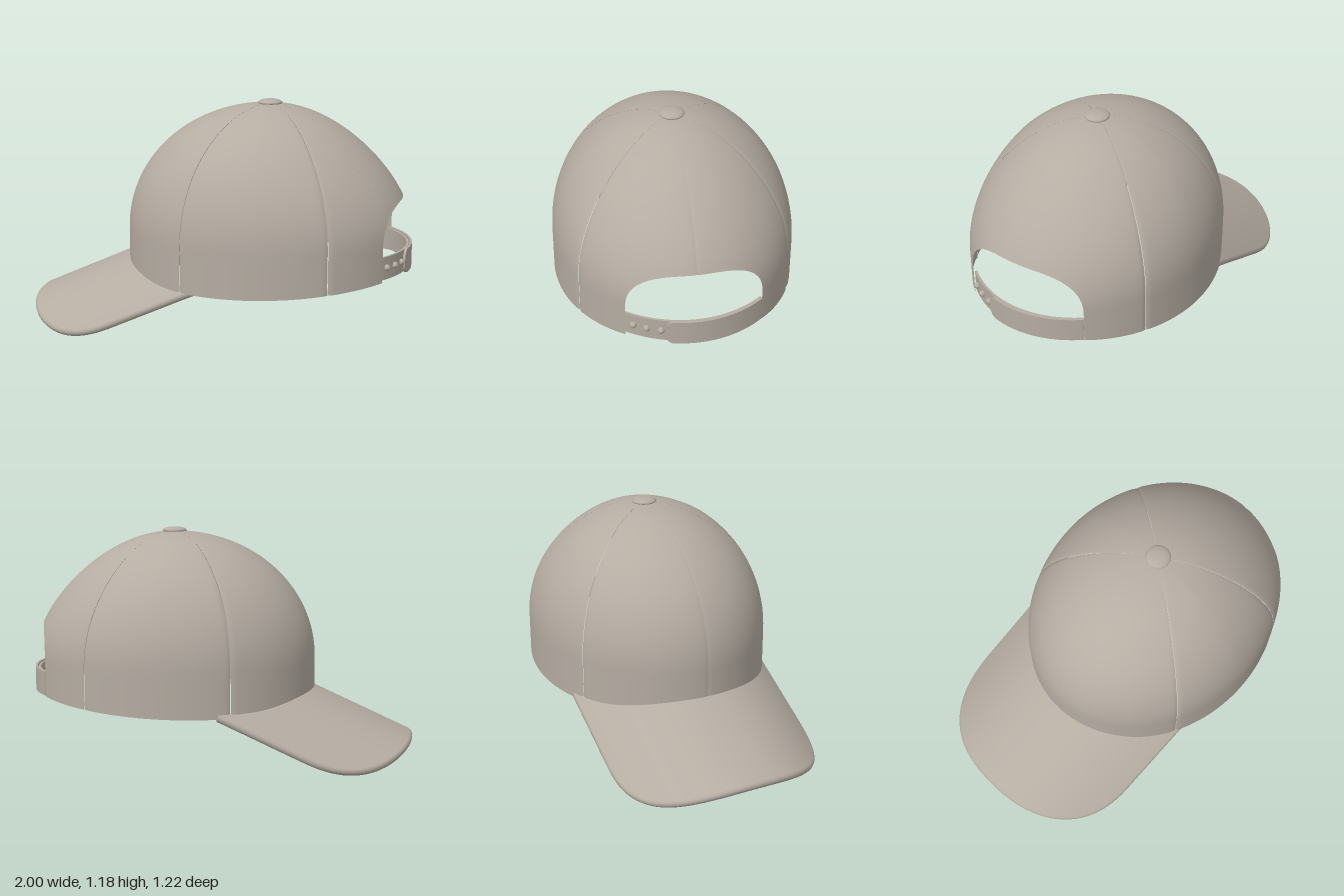
import * as THREE from 'three';
import { toCreasedNormals } from 'three/addons/utils/BufferGeometryUtils.js';

const CX = 0.255, A = 0.74, B = 0.61;           // crown centre and half axes
const OPEN = Math.asin(0.335 / B);              // half angle of the rear opening
const RAD = Math.PI / 180;
const GAP = 0.12;                               // half width of a seam slit, in degrees

// Smooth sheet from a rule fn(u, v) -> [x, y, z], with u and v in 0..1
function sheet(fn, nu, nv) {
  const pos = [], idx = [];
  for (let i = 0; i <= nu; i++)
    for (let j = 0; j <= nv; j++) pos.push(...fn(i / nu, j / nv));
  for (let i = 0; i < nu; i++)
    for (let j = 0; j < nv; j++) {
      const a = i * (nv + 1) + j, b = a + nv + 1;
      idx.push(a, a + 1, b, b, a + 1, b + 1);
    }
  const g = new THREE.BufferGeometry();
  g.setAttribute('position', new THREE.Float32BufferAttribute(pos, 3));
  g.setIndex(idx);
  g.computeVertexNormals();
  return g;
}

// Crown surface: phi runs around from the rear (+x), th rises from the band to the top
function crownPoint(phi, th) {
  const c = Math.cos(phi), up = Math.max(th, 0), f = Math.cos(up);
  const step = Math.PI / 3, n = Math.round(phi / step);
  const depth = n % 3 === 0 ? 0.003 : 0.008;
  const r = f * (1 - depth * Math.exp(-(((phi - n * step) / 0.018) ** 2)));
  const slump = (c > 0 ? 0.14 : 0.01) * c * Math.sin(up) * f * f;
  const y = 0.5 + 0.657 * (th > 0 ? Math.sin(th) : th) - slump;
  return [CX + A * r * c, y, B * r * Math.sin(phi)];
}

// Lower edge of a crown column: the rim, or the arch over the rear opening
function rimStart(phi) {
  const c = Math.cos(phi);
  const y = 0.272 + 0.025 * c + 0.035 * c * c + 0.15 * Math.min(0, c + 0.4) ** 2;
  return (y - 0.5) / 0.657;
}
function archStart(phi) {
  const s = Math.min(1, Math.abs(Math.sin(phi)) * B / 0.335);
  return -0.07 + 0.43 * Math.pow(Math.max(0, 1 - s ** 2.8), 1 / 2.8);
}

function crownPanel(from, to, start) {
  return sheet((u, v) => {
    const phi = from + (to - from) * (0.5 - 0.5 * Math.cos(Math.PI * u));
    const lo = start(phi);
    return crownPoint(phi, lo + (Math.PI / 2 - lo) * v);
  }, 32, 36);
}

// Visor: middle surface between the crown edge and a rounded outline, offset along its normal
const VW = 0.528, VZ = -0.01, VT = 0.022;
function visorPoint(u, v, lift = 0) {
  const t = (u - 0.5) * Math.PI, s = Math.sin(t), e = 2 / 2.3;
  const zi = VW * s, xi = CX - A * Math.sqrt(1 - (zi / B) ** 2) + 0.01 + 0.06 * s ** 8;
  const zo = VW * Math.sign(s) * Math.abs(s) ** e;
  const xo = -0.48 - 0.498 * Math.max(0, Math.cos(t)) ** e;
  const x = xi + (xo - xi) * v, z = zi + (zo - zi) * v;
  const y = 0.089 + 0.45 * (x + 1) - 0.98 * Math.abs(z) ** 2.2;
  const n = new THREE.Vector3(-0.45, 1, 2.156 * Math.sign(z) * Math.abs(z) ** 1.2).setLength(lift);
  return [x + n.x, y + n.y, z + n.z + VZ];
}

// Band bent round the rear opening, from angle p0 to p1
function strapGeometry(p0, p1, a, height, roundEnd) {
  const g = new THREE.BoxGeometry(1, height, 0.012, 48, 4, 1);
  const p = g.attributes.position;
  for (let i = 0; i < p.count; i++) {
    let s = p.getX(i) + 0.5;
    if (roundEnd) s = Math.sin(s * Math.PI / 2);
    const phi = p0 + (p1 - p0) * s, r = p.getZ(i);
    const k = roundEnd ? Math.max(0, (s - 0.93) / 0.07) : 0;
    const h = Math.sqrt(1 - 0.8 * k * k);
    p.setXYZ(i, CX + (a + r) * Math.cos(phi), 0.386 + p.getY(i) * h, (B - 0.005 + r) * Math.sin(phi));
  }
  // bending mirrors the box, so reverse the corner order
  const ix = g.index.array;
  for (let i = 0; i < ix.length; i += 3) [ix[i], ix[i + 1]] = [ix[i + 1], ix[i]];
  return toCreasedNormals(g, 0.7);
}

export function createModel() {
  const cap = new THREE.Group();
  cap.name = 'cap';
  const cloth = new THREE.MeshStandardMaterial({ color: 0xb5aca2, side: THREE.DoubleSide });
  cloth.name = 'warm grey cloth';
  const add = (name, geometry, parent = cap) => {
    const m = new THREE.Mesh(geometry, cloth);
    m.name = name;
    parent.add(m);
    return m;
  };

  // Crown panels, meeting at six seams and split at the rear opening
  const crown = new THREE.Group();
  crown.name = 'crown';
  cap.add(crown);
  for (const side of [1, -1]) {
    const label = side > 0 ? 'Left' : 'Right', deg = side * RAD;
    add('archPanel' + label, crownPanel(0, side * OPEN, archStart), crown);
    add('rearPanel' + label, crownPanel(side * OPEN, (60 - GAP) * deg, rimStart), crown);
    add('sidePanel' + label, crownPanel((60 + GAP) * deg, (120 - GAP) * deg, rimStart), crown);
    add('frontPanel' + label, crownPanel((120 + GAP) * deg, 180 * deg, rimStart), crown);
  }

  // Top button
  const button = add('topButton', new THREE.SphereGeometry(0.063, 32, 16));
  button.scale.y = 0.3;
  button.position.set(CX, 1.159, 0);

  // Visor faces and rounded rim
  const visor = new THREE.Group();
  visor.name = 'visor';
  cap.add(visor);
  add('visorTop', sheet((u, v) => visorPoint(u, v, VT), 64, 24), visor);
  add('visorUnderside', sheet((u, v) => visorPoint(1 - u, v, -VT), 64, 24), visor);
  const loop = [];
  const trace = (n, rule) => {
    for (let i = 0; i < n; i++) loop.push(new THREE.Vector3(...visorPoint(...rule(i / n))));
  };
  trace(60, s => [s, 1]);
  trace(8, s => [1, 1 - s]);
  trace(30, s => [1 - s, 0]);
  trace(8, s => [0, s]);
  add('visorRim', new THREE.TubeGeometry(new THREE.CatmullRomCurve3(loop, true), 240, VT, 12, true), visor);

  // Adjustable rear strap: inner band, overlapping band with rounded end, snaps
  const strap = new THREE.Group();
  strap.name = 'rearStrap';
  cap.add(strap);
  add('innerBand', strapGeometry(-OPEN, OPEN, 0.722, 0.116, false), strap);
  add('outerBand', strapGeometry(-OPEN, Math.asin(0.155 / B), 0.739, 0.126, true), strap);
  for (const z of [0.3, 0.24, 0.175]) {
    const phi = Math.asin(z / B);
    const snap = add('snap', new THREE.SphereGeometry(0.017, 16, 12), strap);
    snap.position.set(CX + 0.733 * Math.cos(phi), 0.388, z);
  }
  return cap;
}
